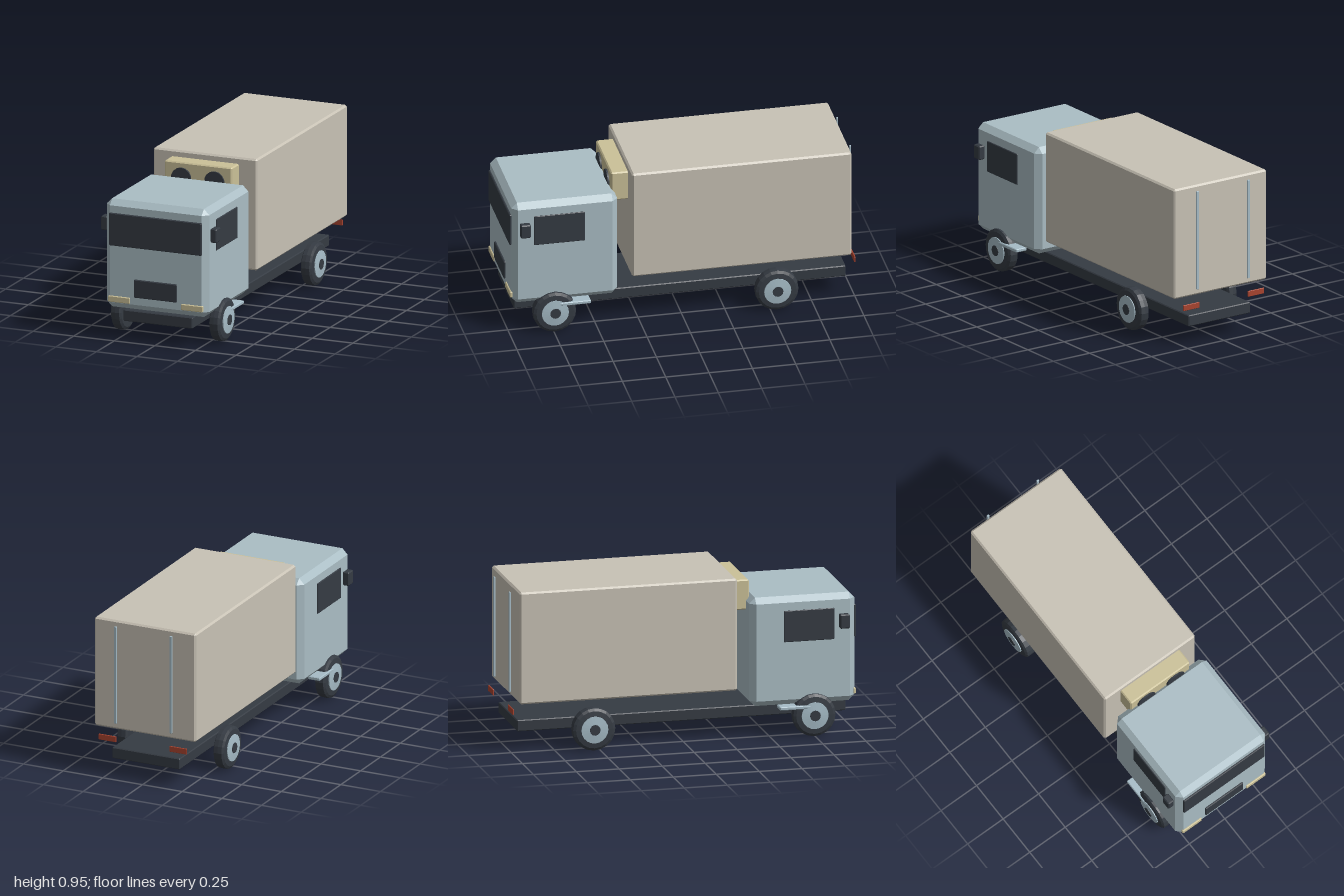
import * as THREE from 'three';
import { ConvexGeometry } from 'three/addons/geometries/ConvexGeometry.js';

function material(name, color) {
  const m = new THREE.MeshStandardMaterial({ color });
  m.name = name;
  return m;
}

// Box with every edge cut by a flat chamfer, given by its limits
function chamferBox(x0, x1, y0, y1, z0, z1, c) {
  const h = [(x1 - x0) / 2, (y1 - y0) / 2, (z1 - z0) / 2];
  const points = [];
  for (const sx of [-1, 1]) for (const sy of [-1, 1]) for (const sz of [-1, 1]) {
    for (let axis = 0; axis < 3; axis++) {
      const p = h.map((v, i) => (i === axis ? v : v - c));
      points.push(new THREE.Vector3(sx * p[0], sy * p[1], sz * p[2]));
    }
  }
  return new ConvexGeometry(points).translate((x0 + x1) / 2, (y0 + y1) / 2, (z0 + z1) / 2);
}

// Faceted solid turned around the x axis from [radius, x] pairs
function turned(profile, sides) {
  const g = new THREE.LatheGeometry(profile.map(([r, h]) => new THREE.Vector2(r, h)), sides);
  const flat = g.rotateZ(-Math.PI / 2).toNonIndexed();
  flat.computeVertexNormals();
  return flat;
}

export function createModel() {
  const group = new THREE.Group();
  group.name = 'refrigeratedTruck';

  const cabPaint = material('cab blue grey', 0xabbec5);
  const cargoPaint = material('cargo beige', 0xc8c2b5);
  const dark = material('dark charcoal', 0x353b43);
  const cream = material('cream', 0xcbc198);
  const metal = material('light metal', 0xa6bcc7);
  const red = material('tail light red', 0xa8432f);

  const add = (name, geometry, mat, parent = group) => {
    const mesh = new THREE.Mesh(geometry, mat);
    mesh.name = name;
    parent.add(mesh);
    return mesh;
  };

  // Main bodies
  add('chassis', chamferBox(-0.213, 0.213, 0.11, 0.176, -0.957, 0.957, 0.005), dark);
  add('cab', chamferBox(-0.316, 0.316, 0.188, 0.82, 0.376, 0.988, 0.033), cabPaint);
  add('cargoBox', chamferBox(-0.32, 0.32, 0.294, 0.946, -0.968, 0.298, 0.01), cargoPaint);
  add('coolingUnit', chamferBox(-0.208, 0.208, 0.733, 0.908, 0.28, 0.395, 0.007), cream);

  // Cab front
  add('windshield', chamferBox(-0.285, 0.285, 0.555, 0.745, 0.982, 0.998, 0.004), dark);
  add('grille', chamferBox(-0.132, 0.132, 0.265, 0.37, 0.982, 0.998, 0.004), dark);

  for (const s of [-1, 1]) {
    const side = s > 0 ? 'left' : 'right';
    // Places a box on one side, mirrored by its limits
    const sideBox = (name, x0, x1, y0, y1, z0, z1, c, mat) =>
      add(side + name, chamferBox(Math.min(s * x0, s * x1), Math.max(s * x0, s * x1), y0, y1, z0, z1, c), mat);

    sideBox('Headlight', 0.157, 0.292, 0.224, 0.26, 0.98, 0.996, 0.004, cream);
    sideBox('Window', 0.31, 0.322, 0.558, 0.74, 0.57, 0.863, 0.003, dark);
    sideBox('Mirror', 0.317, 0.357, 0.624, 0.706, 0.888, 0.946, 0.006, dark);
    sideBox('Step', 0.272, 0.347, 0.167, 0.187, 0.54, 0.72, 0.004, metal);
    sideBox('DoorBar', 0.167, 0.183, 0.335, 0.918, -0.995, -0.985, 0.002, metal);
    sideBox('TailLight', 0.168, 0.278, 0.226, 0.26, -1, -0.992, 0.002, red);

    // Cooling fan disc
    const fan = add(side + 'Fan', new THREE.CylinderGeometry(0.061, 0.061, 0.012, 14), dark);
    fan.rotation.x = Math.PI / 2;
    fan.position.set(s * 0.102, 0.817, 0.399);
  }

  // Wheels, modelled facing +x and turned round for the other side
  const tyre = turned([[0, -0.033], [0.108, -0.033], [0.123, -0.024], [0.125, 0],
    [0.123, 0.024], [0.108, 0.033], [0.08, 0.036], [0, 0.036]], 20);
  const rim = turned([[0.078, 0.03], [0.078, 0.041], [0.035, 0.045], [0, 0.045]], 20);
  const hub = turned([[0.031, 0.04], [0.031, 0.048], [0, 0.048]], 12);
  for (const [axle, z] of [['front', 0.745], ['rear', -0.537]]) {
    for (const s of [-1, 1]) {
      const wheel = new THREE.Group();
      wheel.name = axle + (s > 0 ? 'Left' : 'Right') + 'Wheel';
      add('tyre', tyre, dark, wheel);
      add('rim', rim, metal, wheel);
      add('hub', hub, dark, wheel);
      wheel.position.set(s * 0.303, 0.125, z);
      wheel.rotation.y = s > 0 ? 0 : Math.PI;
      group.add(wheel);
    }
  }

  return group;
}
